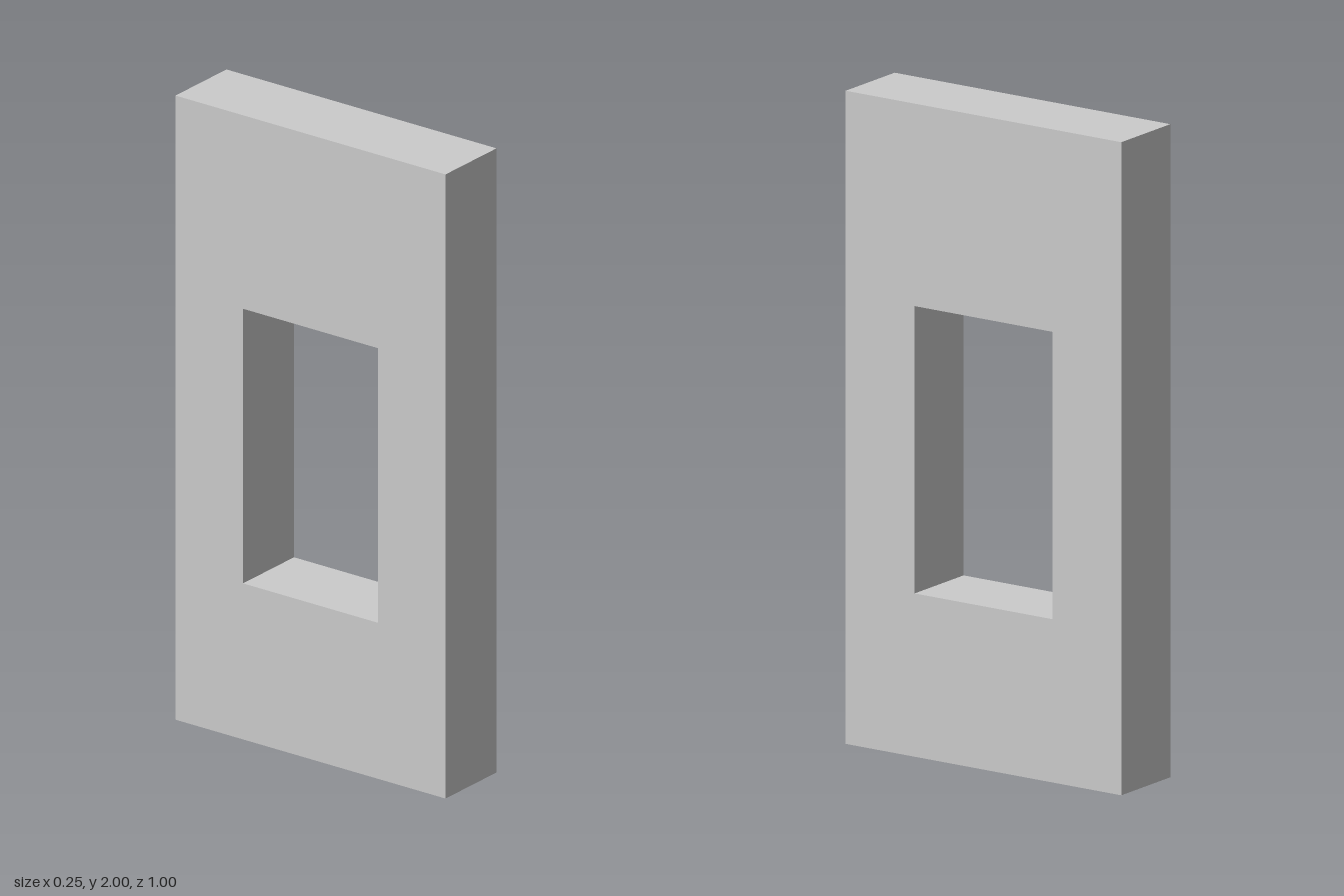
import * as THREE from 'three';

const WIDTH = 1, HEIGHT = 2, THICKNESS = 0.25;
const OPENING = { width: 0.5, bottom: 0.5, top: 1.38 };

// Rectangle outline, centred sideways, between two heights
function trace(path, width, bottom, top) {
  const h = width / 2;
  path.moveTo(-h, bottom);
  path.lineTo(h, bottom);
  path.lineTo(h, top);
  path.lineTo(-h, top);
  path.closePath();
  return path;
}

export function createModel() {
  const group = new THREE.Group();
  group.name = 'windowWall';

  // Wall panel with a window opening cut through it
  const panel = trace(new THREE.Shape(), WIDTH, 0, HEIGHT);
  panel.holes.push(trace(new THREE.Path(), OPENING.width, OPENING.bottom, OPENING.top));
  const geometry = new THREE.ExtrudeGeometry(panel, { depth: THICKNESS, bevelEnabled: false });

  // Centre the thickness and turn the panel to face sideways
  geometry.translate(0, 0, -THICKNESS / 2);
  geometry.rotateY(Math.PI / 2);

  const wall = new THREE.Mesh(
    geometry,
    new THREE.MeshStandardMaterial({ color: 0xcccccc, flatShading: true })
  );
  wall.name = 'wallPanel';
  group.add(wall);
  return group;
}
